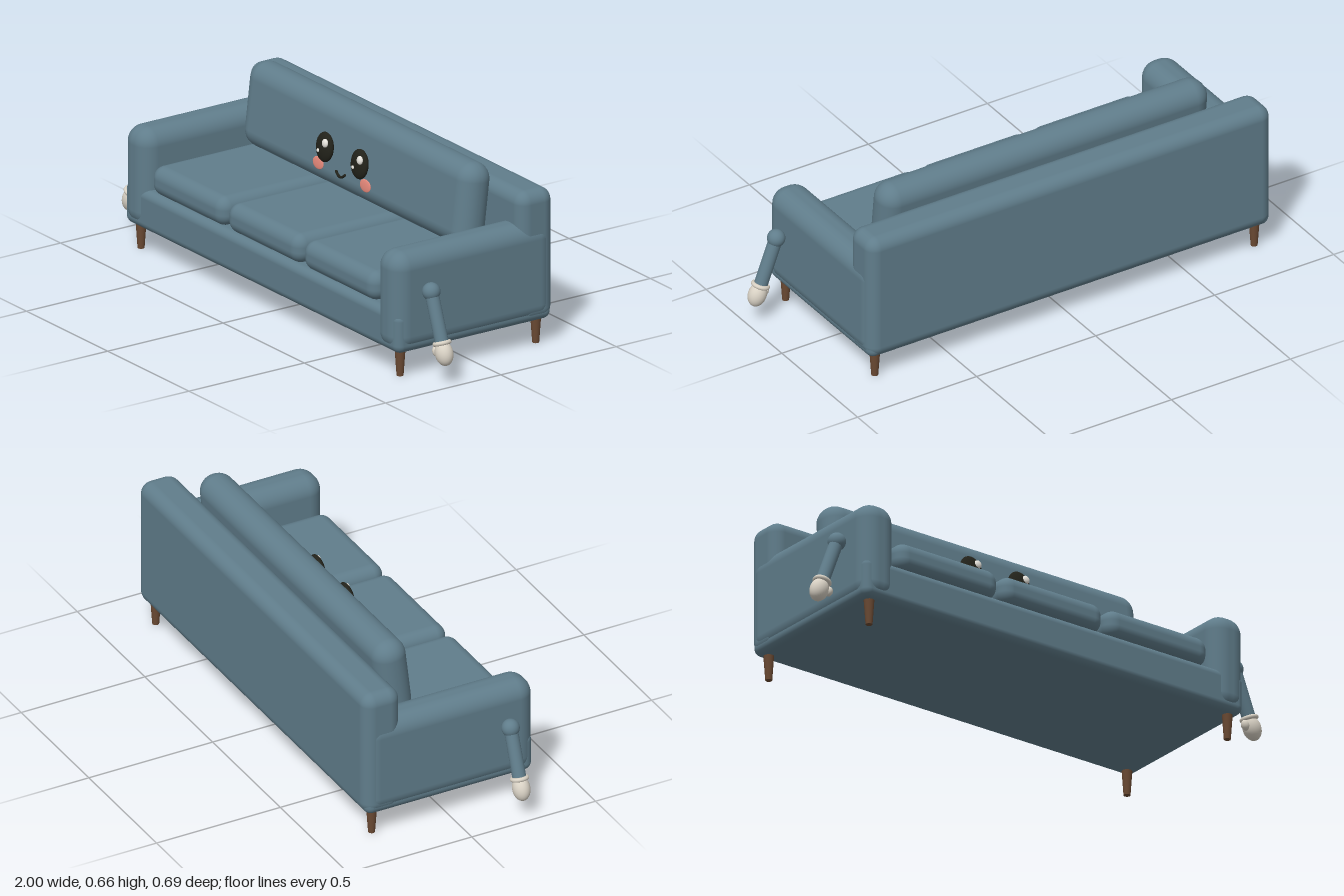
import * as THREE from 'three';
import { RoundedBoxGeometry } from 'three/addons/geometries/RoundedBoxGeometry.js';

const material = (name, color) => {
  const m = new THREE.MeshStandardMaterial({ color });
  m.name = name;
  return m;
};

export function createModel() {
  const fabric = material('blue grey fabric', 0x607d8b);
  const wood = material('brown wood', 0x6b4a33);
  const cream = material('cream glove', 0xd9d2c5);
  const black = material('eye black', 0x22221a);
  const white = material('eye highlight', 0xf5f2ea);
  const pink = material('cheek pink', 0xe88a7c);

  const sofa = new THREE.Group();
  sofa.name = 'sofa';

  const add = (parent, name, geometry, mat, x = 0, y = 0, z = 0) => {
    const mesh = new THREE.Mesh(geometry, mat);
    mesh.name = name;
    mesh.position.set(x, y, z);
    parent.add(mesh);
    return mesh;
  };
  const cushion = (name, w, h, d, r, x, y, z) =>
    add(sofa, name, new RoundedBoxGeometry(w, h, d, 6, r), fabric, x, y, z);
  const ellipsoid = (parent, name, mat, rx, ry, rz, x, y, z) => {
    const geometry = new THREE.SphereGeometry(1, 32, 20).scale(rx, ry, rz);
    return add(parent, name, geometry, mat, x, y, z);
  };

  // Upholstered body
  cushion('base', 1.686, 0.152, 0.674, 0.03, 0, 0.17, 0);
  cushion('backrest', 1.692, 0.494, 0.15, 0.046, 0, 0.341, -0.27);
  for (let i = -1; i <= 1; i++) {
    cushion('seatCushion', 0.45, 0.11, 0.53, 0.045, i * 0.466, 0.298, 0.07);
  }
  const backCushion = cushion('backCushion', 1.375, 0.315, 0.131, 0.064, 0, 0.507, -0.125);
  backCushion.rotation.x = -0.118;

  for (const side of [1, -1]) {
    const label = side > 0 ? 'left' : 'right';
    cushion(label + 'Armrest', 0.145, 0.374, 0.69, 0.063, side * 0.777, 0.281, 0);

    // Tapered legs
    for (const z of [0.294, -0.294]) {
      add(sofa, label + 'Leg', new THREE.CylinderGeometry(0.0195, 0.0125, 0.1, 20), wood, side * 0.797, 0.05, z);
    }

    // Hanging limb, built straight down from the shoulder and swung outwards
    const limb = new THREE.Group();
    limb.name = label + 'Limb';
    limb.position.set(side * 0.884, 0.327, 0.22);
    limb.rotation.z = side * 0.36;
    sofa.add(limb);
    ellipsoid(limb, 'shoulder', fabric, 0.033, 0.033, 0.033, 0, 0, 0);
    add(limb, 'forearm', new THREE.CylinderGeometry(0.025, 0.025, 0.19, 24), fabric, 0, -0.095, 0);
    const cuff = add(limb, 'cuff', new THREE.TorusGeometry(0.027, 0.008, 10, 28), cream, 0, -0.187, 0);
    cuff.rotation.x = Math.PI / 2;
    ellipsoid(limb, 'hand', cream, 0.035, 0.046, 0.032, 0, -0.224, 0);
    ellipsoid(limb, 'thumb', cream, 0.015, 0.02, 0.015, side * -0.034, -0.212, 0.008);
  }

  // Face, leaning with the back cushion
  const face = new THREE.Group();
  face.name = 'face';
  face.position.set(0, 0.523, -0.017);
  face.rotation.x = -0.118;
  sofa.add(face);
  for (const side of [1, -1]) {
    const x = side * 0.107;
    ellipsoid(face, 'eye', black, 0.047, 0.055, 0.02, x, 0, 0);
    ellipsoid(face, 'largeHighlight', white, 0.015, 0.016, 0.009, x + 0.02, 0.021, 0.016);
    ellipsoid(face, 'smallHighlight', white, 0.007, 0.007, 0.005, x - 0.013, -0.014, 0.019);
    ellipsoid(face, 'cheek', pink, 0.033, 0.023, 0.004, side * 0.145, -0.07, -0.006);
  }
  const smile = new THREE.QuadraticBezierCurve3(
    new THREE.Vector3(-0.026, -0.066, 0),
    new THREE.Vector3(0, -0.094, 0),
    new THREE.Vector3(0.026, -0.066, 0)
  );
  add(face, 'mouth', new THREE.TubeGeometry(smile, 20, 0.005, 8), black);
  for (const side of [1, -1]) ellipsoid(face, 'mouthCorner', black, 0.005, 0.005, 0.005, side * 0.026, -0.066, 0);

  return sofa;
}
